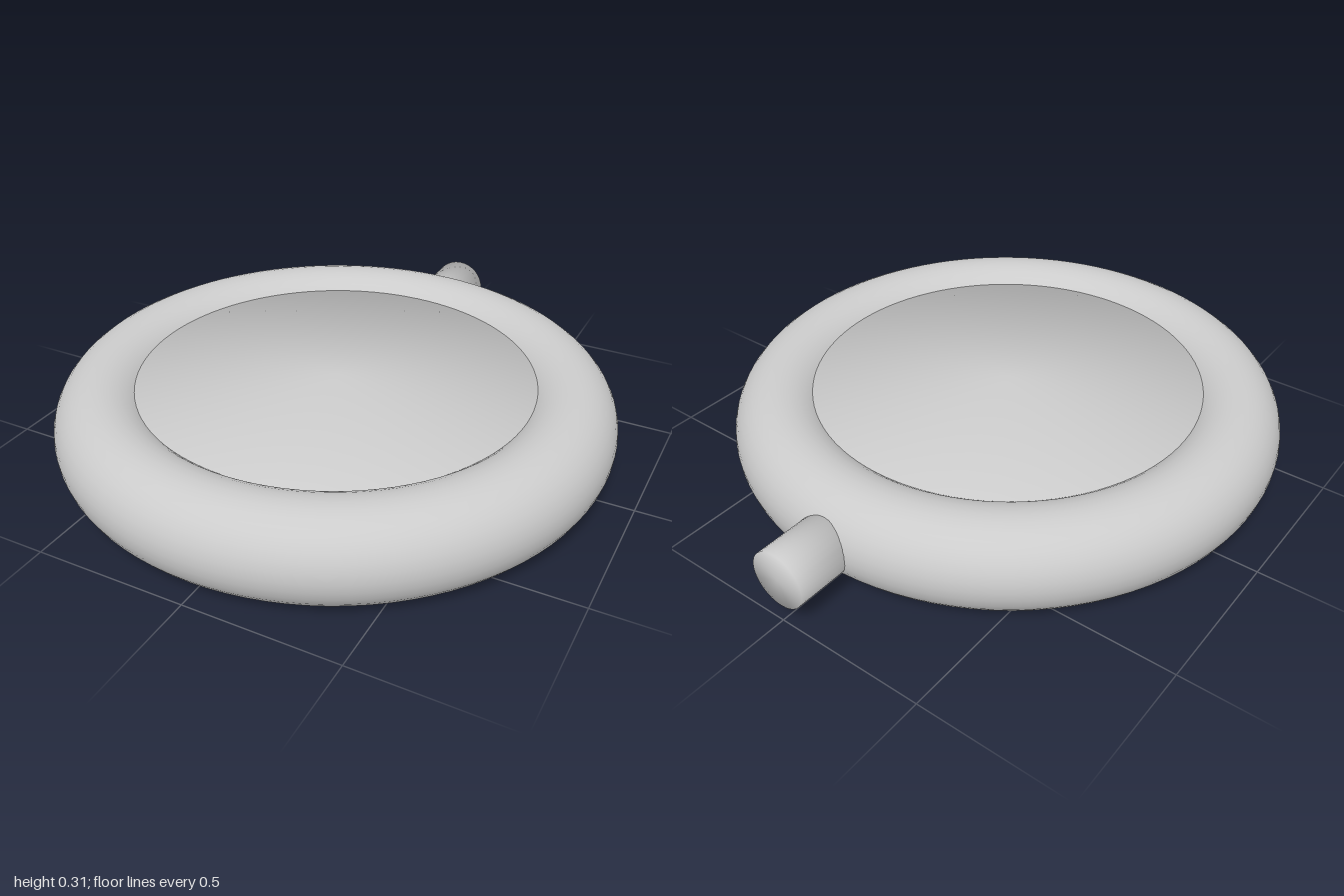
import * as THREE from 'three';
import { mergeVertices } from 'three/addons/utils/BufferGeometryUtils.js';

// Capped cylinder with shared rim vertices, so the shading rolls softly over its edges
function softCylinder(radius, height, sides) {
  let geo = new THREE.CylinderGeometry(radius, radius, height, sides);
  geo.deleteAttribute('normal');
  geo.deleteAttribute('uv');
  geo = mergeVertices(geo, 1e-4);
  const pos = geo.attributes.position;
  const normals = [];
  const n = new THREE.Vector3();
  for (let i = 0; i < pos.count; i++) {
    n.set(pos.getX(i) / radius, Math.sign(pos.getY(i)), pos.getZ(i) / radius).normalize();
    normals.push(n.x, n.y, n.z);
  }
  geo.setAttribute('normal', new THREE.Float32BufferAttribute(normals, 3));
  return geo;
}

export function createModel() {
  const model = new THREE.Group();
  model.name = 'roundPendant';
  const material = new THREE.MeshStandardMaterial({ color: 0xcccccc });
  const ringRadius = 0.763, tube = 0.155, centreZ = 0.082;

  const add = (name, geometry, y, z) => {
    const mesh = new THREE.Mesh(geometry, material);
    mesh.name = name;
    mesh.position.set(0, y, z);
    model.add(mesh);
    return mesh;
  };

  // Thick round rim lying flat
  const rim = new THREE.TorusGeometry(ringRadius, tube, 32, 96).rotateX(Math.PI / 2);
  add('rim', rim, tube, centreZ);

  // Solid disc filling the rim, a little thinner than the tube
  add('centreDisc', softCylinder(ringRadius, 0.222, 32), tube, centreZ);

  // Short stem pointing backwards, rooted inside the rim
  const stemLength = 0.3;
  const stem = softCylinder(0.096, stemLength, 32).rotateX(Math.PI / 2);
  add('stem', stem, tube, -1 + stemLength / 2);

  return model;
}
